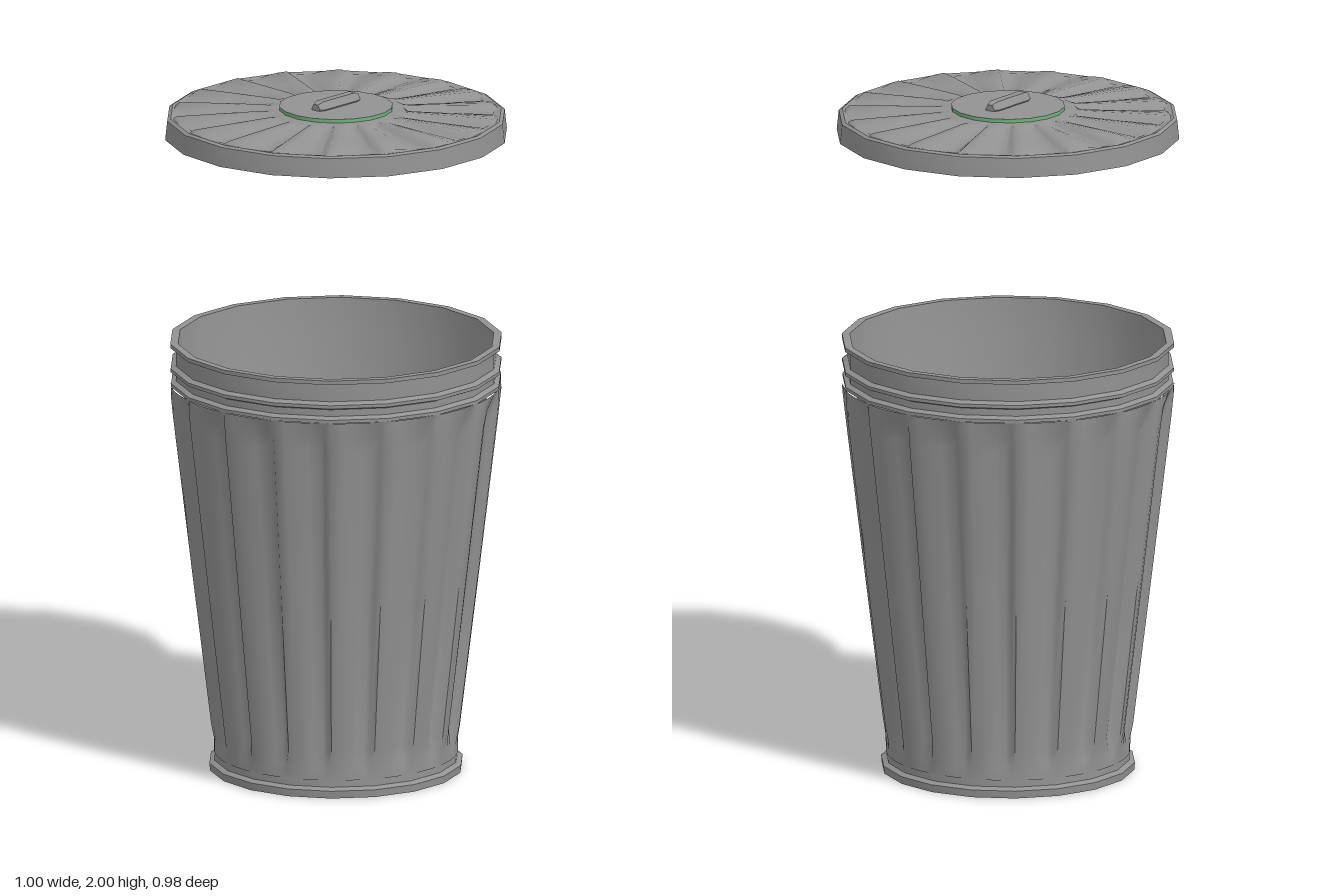
import * as THREE from 'three';
import { toCreasedNormals } from 'three/addons/utils/BufferGeometryUtils.js';

const SIDES = 18;
const steel = new THREE.MeshStandardMaterial({ color: 0x929292 });
const green = new THREE.MeshStandardMaterial({ color: 0x74b27c });

function addMesh(parent, name, geometry, material = steel) {
  const mesh = new THREE.Mesh(geometry, material);
  mesh.name = name;
  parent.add(mesh);
  return mesh;
}

// Turned part with 18 sides and a corner on the x axis; profile is [radius, y]
function turned(profile) {
  const points = profile.map(([r, y]) => new THREE.Vector2(r, y));
  return toCreasedNormals(new THREE.LatheGeometry(points, SIDES, Math.PI / 2), 0.6);
}

// Sawtooth flutes: each row is [crest radius, crest y, valley radius, valley y]
function fluted(rows) {
  // Position across one flute and height there: a quick drop, then a rounded rise
  const section = [[0, 1], [0.09, 0.4], [0.2, 0], [0.4, 0.38], [0.6, 0.7], [0.8, 0.92]];
  const cols = SIDES * section.length;
  const positions = [];
  const index = [];
  rows.forEach(([rc, yc, rv, yv], j) => {
    for (let i = 0; i <= cols; i++) {
      const [t, rise] = section[i % section.length];
      const angle = ((Math.floor(i / section.length) + t) * 2 * Math.PI) / SIDES;
      const r = rv + (rc - rv) * rise;
      positions.push(r * Math.cos(angle), yv + (yc - yv) * rise, r * Math.sin(angle));
      if (j < rows.length - 1 && i < cols) {
        const a = j * (cols + 1) + i;
        const b = a + cols + 1;
        index.push(a, b, a + 1, a + 1, b, b + 1);
      }
    }
  });
  const geometry = new THREE.BufferGeometry();
  geometry.setAttribute('position', new THREE.Float32BufferAttribute(positions, 3));
  geometry.setIndex(index);
  return toCreasedNormals(geometry, 1.1);
}

function createBin() {
  const bin = new THREE.Group();
  bin.name = 'bin';

  addMesh(bin, 'baseRing', turned([
    [0.367, 0], [0.369, 0.022], [0.354, 0.03], [0.353, 0.06],
  ]));

  addMesh(bin, 'flutedWall', fluted([
    [0.353, 0.05, 0.353, 0.05],
    [0.354, 0.09, 0.351, 0.09],
    [0.364, 0.14, 0.336, 0.14],
    [0.42, 0.6, 0.391, 0.6],
    [0.475, 1.06, 0.445, 1.06],
    [0.481, 1.12, 0.455, 1.095],
    [0.481, 1.15, 0.478, 1.15],
  ]));

  // Neck with its bead and top lip, then the smooth inside wall and floor
  addMesh(bin, 'rimAndLining', turned([
    [0.481, 1.15], [0.481, 1.16], [0.467, 1.168], [0.467, 1.188],
    [0.482, 1.194], [0.482, 1.204], [0.467, 1.212], [0.467, 1.262],
    [0.483, 1.266], [0.483, 1.278], [0.46, 1.278], [0.45, 1.16],
    [0.435, 1.06], [0.325, 0.1], [0.325, 0.03], [0, 0.03],
  ]));

  addMesh(bin, 'underside', new THREE.CircleGeometry(0.367, SIDES).rotateX(Math.PI / 2), green);
  return bin;
}

function createLid() {
  const lid = new THREE.Group();
  lid.name = 'lid';

  // Skirt: bevelled lower lip, outer wall and top shoulder
  addMesh(lid, 'lidSkirt', turned([
    [0.47, 1.908], [0.488, 1.888], [0.498, 1.888], [0.492, 1.945], [0.482, 1.95], [0.46, 1.946],
  ]));

  addMesh(lid, 'flutedTop', fluted([
    [0.474, 1.947, 0.474, 1.947],
    [0.462, 1.958, 0.452, 1.94],
    [0.33, 1.962, 0.33, 1.944],
    [0.21, 1.965, 0.21, 1.95],
    [0.195, 1.963, 0.195, 1.963],
    [0.15, 1.965, 0.15, 1.965],
  ]));

  // Underside: shallow ring around a flat centre
  addMesh(lid, 'liningRing', turned([[0.33, 1.912], [0.47, 1.908]]), green);
  addMesh(lid, 'liningCentre', turned([[0, 1.912], [0.33, 1.912]]));

  // Raised plate in the middle
  addMesh(lid, 'plateEdge', turned([[0.165, 1.96], [0.165, 1.975]]), green);
  addMesh(lid, 'plateTop', turned([[0.165, 1.975], [0, 1.975]]));

  // Six-sided bar handle with bevelled ends
  const bar = [[0, -0.087], [0.016, -0.087], [0.024, -0.07], [0.024, 0.07], [0.016, 0.087], [0, 0.087]]
    .map(([r, y]) => new THREE.Vector2(r, y));
  const handle = addMesh(lid, 'handle',
    toCreasedNormals(new THREE.LatheGeometry(bar, 6).rotateZ(Math.PI / 2), 0.6));
  handle.position.y = 1.979;
  return lid;
}

export function createModel() {
  const model = new THREE.Group();
  model.name = 'trashCan';
  model.add(createBin(), createLid());
  return model;
}
